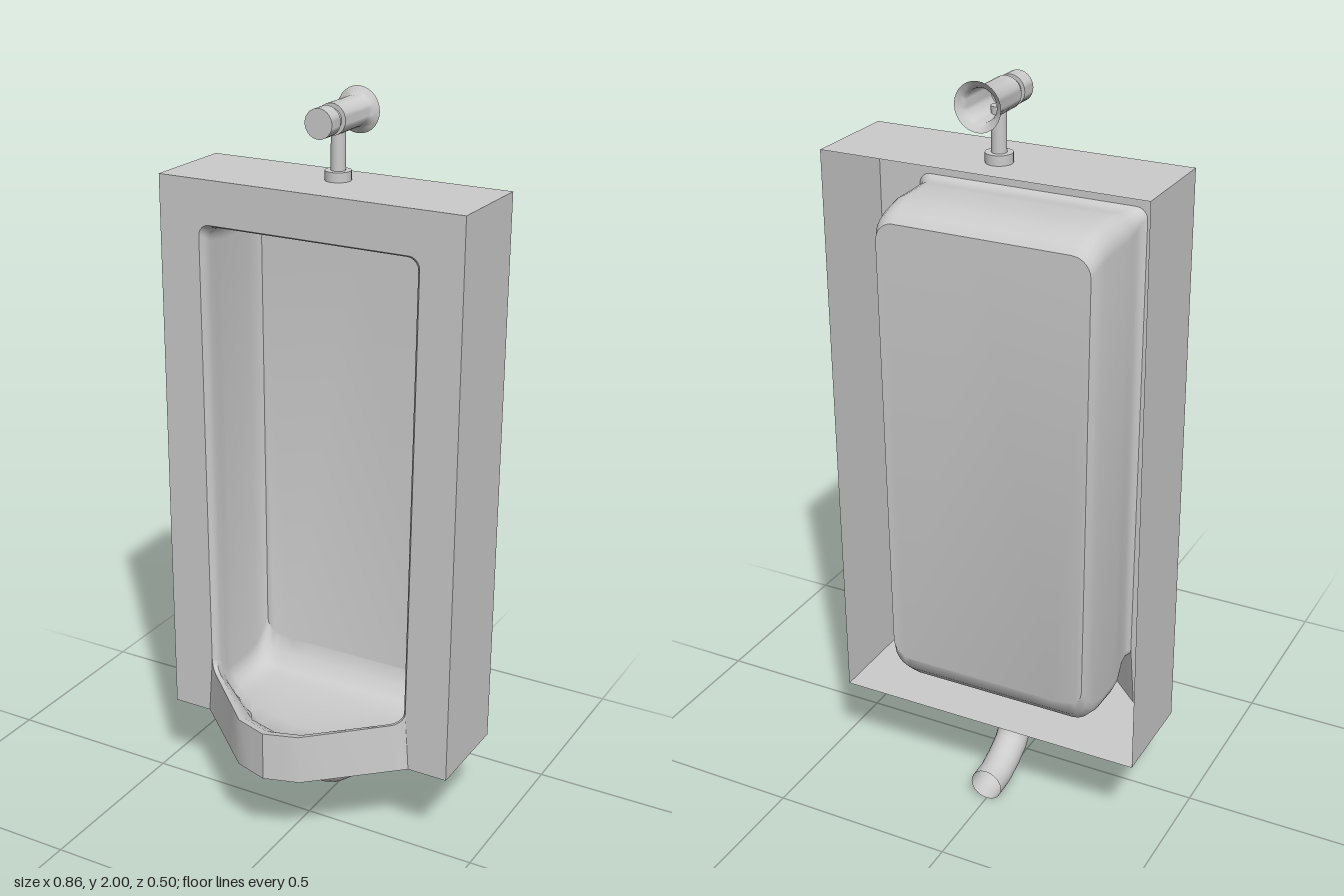
import * as THREE from 'three';
import { toCreasedNormals } from 'three/addons/utils/BufferGeometryUtils.js';

const W = 0.428, Y0 = 0.25, Y1 = 1.784, ZB = -0.25, ZF = 0.019;
const LIP = [[0, 0.231], [0.3, 0.201], [1, 0]]; // lip projection against relative half width

export function createModel() {
  const model = new THREE.Group();
  const mat = new THREE.MeshStandardMaterial({ color: 0xcccccc, side: THREE.DoubleSide });
  const add = (name, geo, parent = model) => {
    const mesh = new THREE.Mesh(geo, mat);
    mesh.name = name;
    parent.add(mesh);
    return mesh;
  };

  // The opening narrows slightly towards the bottom
  const taper = (y) => 0.97 + 0.03 * (y - Y0) / (1.67 - Y0);
  const lipAt = (u) => u < 0.3
    ? THREE.MathUtils.lerp(LIP[0][1], LIP[1][1], u / 0.3)
    : THREE.MathUtils.lerp(LIP[1][1], LIP[2][1], (u - 0.3) / 0.7);

  // Half of a rounded opening, from bottom centre up the +x side to top centre
  function halfRing({ hw, top, bot, r, z, k }) {
    const pts = [0, 0.15, 0.3, 0.5, 0.7].map((u) => [u * hw, bot]);
    const arc = (cy, a0) => {
      for (let i = 0; i <= 5; i++) {
        const a = a0 + (i / 5) * Math.PI / 2;
        pts.push([hw - r + r * Math.cos(a), cy + r * Math.sin(a)]);
      }
    };
    arc(bot + r, -Math.PI / 2);
    arc(top - r, 0);
    pts.push([hw * 0.5, top], [0, top]);
    return pts.map(([x, y], i) =>
      new THREE.Vector3(x * taper(y), y, z + (i < 11 ? k * lipAt(Math.min(1, x / hw)) : 0)));
  }
  const mirror = (v) => new THREE.Vector3(-v.x, v.y, v.z);
  const fullRing = (half) => [...half, ...half.slice(1, -1).reverse().map(mirror)];

  // Joins rows of points into one surface, optionally capping the last row
  function loft(rows, closed) {
    const n = rows[0].length, idx = [];
    for (let j = 0; j < rows.length - 1; j++) {
      for (let i = 0; i < (closed ? n : n - 1); i++) {
        const a = j * n + i, b = j * n + (i + 1) % n;
        idx.push(a, b, a + n, b, b + n, a + n);
      }
    }
    if (closed) {
      const last = (rows.length - 1) * n;
      const flat = rows[rows.length - 1].map((v) => new THREE.Vector2(v.x, v.y));
      for (const t of THREE.ShapeUtils.triangulateShape(flat, [])) idx.push(...t.map((i) => last + i));
    }
    const geo = new THREE.BufferGeometry().setFromPoints(rows.flat());
    geo.setIndex(idx);
    return toCreasedNormals(geo, 0.6);
  }

  // Bowl: rolled rim, lip slope, floor, side walls and a flat back near the wall
  const levels = [
    { hw: 0.312, top: 1.668, bot: 0.388, r: 0.03, z: ZF, k: 1 },
    { hw: 0.303, top: 1.662, bot: 0.384, r: 0.03, z: 0.008, k: 0.95 },
    { hw: 0.3, top: 1.66, bot: 0.36, r: 0.04, z: -0.012, k: 0.86 },
    { hw: 0.302, top: 1.665, bot: 0.315, r: 0.05, z: -0.04, k: 0.76 },
    { hw: 0.302, top: 1.668, bot: 0.3, r: 0.06, z: -0.07, k: 0.5 },
    { hw: 0.3, top: 1.668, bot: 0.3, r: 0.06, z: -0.15, k: 0 },
    { hw: 0.297, top: 1.66, bot: 0.312, r: 0.06, z: -0.195, k: 0 },
    { hw: 0.294, top: 1.645, bot: 0.345, r: 0.055, z: -0.228, k: 0 },
    { hw: 0.287, top: 1.625, bot: 0.385, r: 0.05, z: -0.246, k: 0 },
  ];
  const halves = levels.map(halfRing);
  const body = new THREE.Group();
  body.name = 'body';
  model.add(body);
  add('bowl', loft(halves.map(fullRing), true), body);

  // Outer wall of the lip, dropping from the rim to a slightly wider underside
  const rimHalf = halves[0].slice(0, 11);
  const rim = [...rimHalf.slice(1).reverse().map(mirror), ...rimHalf];
  const foot = rim.map((v) => new THREE.Vector3(v.x * 1.04, Y0, v.z));
  add('lipWall', loft([foot, rim], false), body);

  // Front panel, notched around the opening and the lip
  const upper = halves[0].slice(10);
  const xb = foot[foot.length - 1].x;
  const front = new THREE.Shape([
    [-W, Y0], [-xb, Y0],
    ...upper.map((v) => [-v.x, v.y]),
    ...upper.slice(0, -1).reverse().map((v) => [v.x, v.y]),
    [xb, Y0], [W, Y0], [W, Y1], [-W, Y1],
  ].map(([x, y]) => new THREE.Vector2(x, y)));
  add('frontPanel', new THREE.ShapeGeometry(front).translate(0, 0, ZF), body);

  // Underside, following the lip outline
  const under = new THREE.Shape([
    [-W, ZB], [W, ZB], [W, ZF],
    ...foot.slice().reverse().map((v) => [v.x, v.z]),
    [-W, ZF],
  ].map(([x, z]) => new THREE.Vector2(x, z)));
  add('underside', new THREE.ShapeGeometry(under).rotateX(Math.PI / 2).translate(0, Y0, 0), body);

  // Top and side panels; the back stays open
  const depth = ZF - ZB, zc = (ZF + ZB) / 2;
  add('topPanel', new THREE.PlaneGeometry(2 * W, depth).rotateX(-Math.PI / 2).translate(0, Y1, zc), body);
  for (const s of [-1, 1]) {
    add(s > 0 ? 'leftPanel' : 'rightPanel', new THREE.PlaneGeometry(depth, Y1 - Y0)
      .rotateY(s * Math.PI / 2).translate(s * W, (Y0 + Y1) / 2, zc), body);
  }

  // Flush valve on top: collar, stem and a turned body with an open wall flange
  const valve = new THREE.Group();
  valve.name = 'flushValve';
  model.add(valve);
  add('collar', new THREE.CylinderGeometry(0.034, 0.034, 0.025, 24), valve).position.set(0, Y1 + 0.0125, -0.145);
  add('stem', new THREE.CylinderGeometry(0.019, 0.019, 0.12, 20), valve).position.set(0, 1.86, -0.145);
  const profile = [[0.06, -0.25], [0.05, -0.243], [0.043, -0.237], [0.04, -0.23], [0.04, -0.108], [0.029, -0.108],
    [0.029, -0.087], [0.038, -0.087], [0.038, -0.043], [0, -0.043]];
  const valveGeo = new THREE.LatheGeometry(profile.map(([r, z]) => new THREE.Vector2(r, z)), 28);
  add('valveBody', toCreasedNormals(valveGeo.rotateX(Math.PI / 2), 0.8), valve).position.y = 1.941;

  // Drain: flange and a coarsely bent pipe, open at the wall end
  const drain = new THREE.Group();
  drain.name = 'drain';
  model.add(drain);
  add('drainFlange', new THREE.CylinderGeometry(0.075, 0.075, 0.022, 28), drain).position.set(0, Y0 - 0.011, -0.054);
  const bend = [[0.24, -0.052], [0.19, -0.054], [0.11, -0.085], [0.064, -0.155], [0.047, -0.21], [0.046, -0.25]]
    .map(([y, z]) => new THREE.Vector3(0, y, z));
  add('drainPipe', new THREE.TubeGeometry(new THREE.CatmullRomCurve3(bend), 6, 0.045, 20), drain);
  return model;
}
